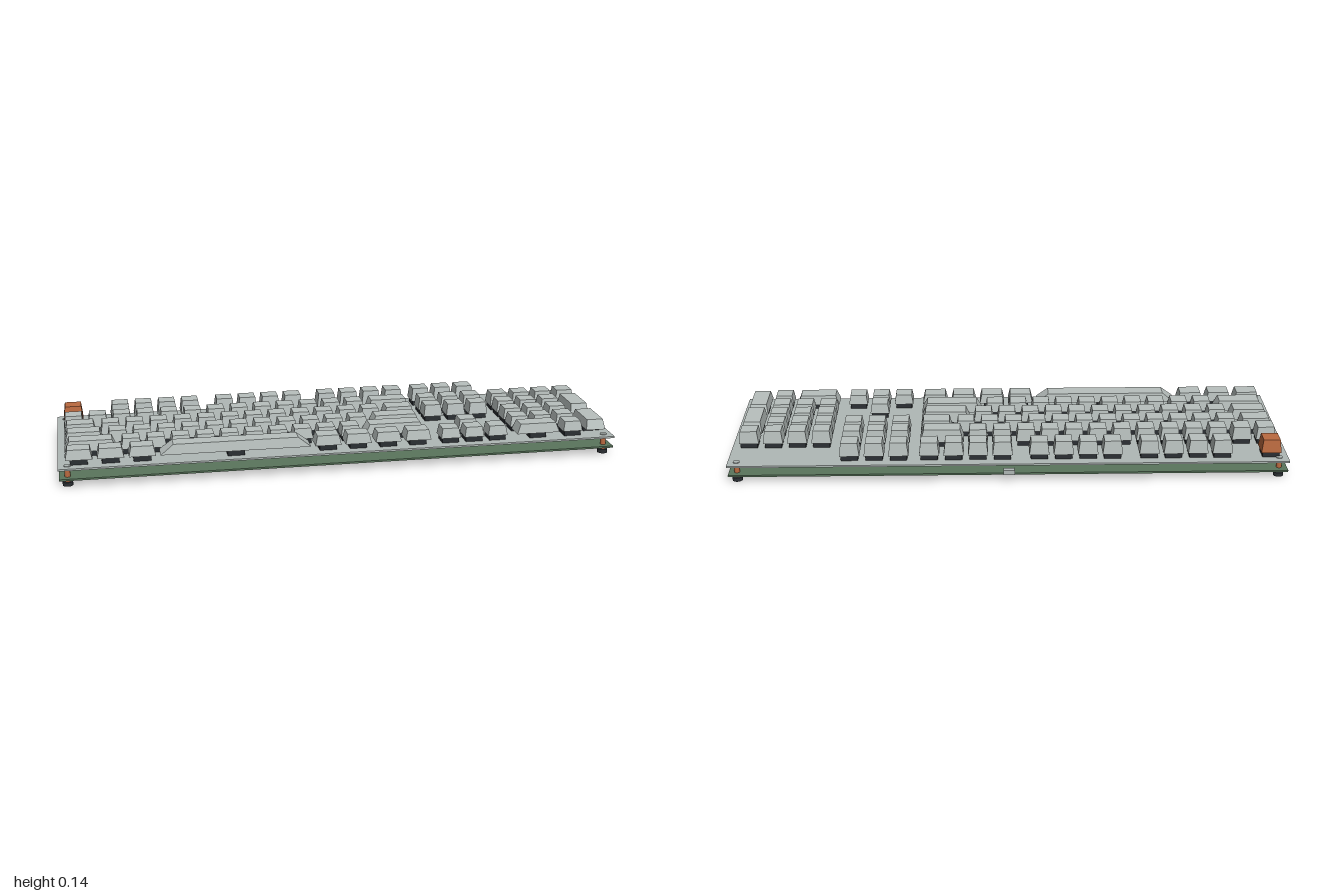
import * as THREE from 'three';

const flat = (name, color) => {
  const m = new THREE.MeshStandardMaterial({ color });
  m.name = name;
  return m;
};

export function createModel() {
  const model = new THREE.Group();
  model.name = 'keyboard';
  const keyGrey = flat('key grey', 0xb8c0be);
  const plateGrey = flat('plate grey', 0xb0b8b6);
  const copper = flat('copper', 0xbb6a40);
  const green = flat('board green', 0x5a755c);
  const black = flat('switch black', 0x2b2f33);

  const add = (name, geometry, material, x, y, z, parent = model) => {
    const mesh = new THREE.Mesh(geometry, material);
    mesh.name = name;
    mesh.position.set(x, y, z);
    parent.add(mesh);
    return mesh;
  };

  // Top plate, circuit board and cable socket
  add('topPlate', new THREE.BoxGeometry(2, 0.0065, 0.6), plateGrey, 0, 0.0657, 0.007);
  add('circuitBoard', new THREE.BoxGeometry(1.994, 0.0065, 0.594), green, 0, 0.0283, 0.008);
  add('cableSocket', new THREE.BoxGeometry(0.04, 0.017, 0.023), plateGrey, 0, 0.0405, -0.2945);

  // Corner posts with feet and screw heads
  for (const x of [-0.968, 0.968]) {
    for (const z of [0.274, -0.258]) {
      const post = new THREE.Group();
      post.name = 'cornerPost';
      post.position.set(x, 0, z);
      add('foot', new THREE.CylinderGeometry(0.018, 0.018, 0.014, 20), black, 0, 0.007, 0, post);
      add('standoff', new THREE.CylinderGeometry(0.01, 0.01, 0.05, 16), copper, 0, 0.038, 0, post);
      add('screwHead', new THREE.CylinderGeometry(0.012, 0.012, 0.003, 16), plateGrey, 0, 0.0705, 0, post);
      model.add(post);
    }
  }

  // Tapered keycap: the top ring of a box is pulled in proportionally
  const U = 0.0873, GAP = 0.0155, LEFT = -0.982, BASE = 0.0875;
  const capGeometry = (w, d, h) => {
    const geo = new THREE.BoxGeometry(w, h, d).translate(0, h / 2, 0);
    const p = geo.attributes.position;
    for (let i = 0; i < p.count; i++) {
      if (p.getY(i) > h / 2) {
        p.setX(i, p.getX(i) * 0.83);
        p.setZ(i, p.getZ(i) * 0.83 - 0.0007);
      }
    }
    geo.computeVertexNormals();
    return geo;
  };

  // Rows from back to front
  const rowZ = [-0.2245, -0.111, -0.0235, 0.064, 0.1515, 0.239];
  const rowTop = [0.1365, 0.134, 0.1305, 0.128, 0.125, 0.123];
  const switchGeo = new THREE.BoxGeometry(0.061, 0.0195, 0.061);

  const addKey = (row, start, width = 1, rows = 1) => {
    const key = new THREE.Group();
    key.name = 'key';
    const z = (rowZ[row] + rowZ[row + rows - 1]) / 2;
    key.position.set(LEFT + (start + width / 2) * U, 0, z);
    const top = rowTop[row + rows - 1] + (rows > 1 && row === 2 ? 0.0025 : 0);
    const material = row === 0 && start === 0 ? copper : keyGrey;
    add('keycap', capGeometry(width * U - GAP, rows * U - GAP, top - BASE), material, 0, BASE, 0, key);
    add('keySwitch', switchGeo, black, 0, 0.0785, 0, key);
    model.add(key);
  };

  // Main block, key widths per row
  const ones = (n) => Array(n).fill(1);
  const main = {
    1: [...ones(13), 2],
    2: [1.5, ...ones(12), 1.5],
    3: [1.75, ...ones(11), 2.25],
    4: [2.25, ...ones(10), 2.75],
    5: [1.25, 1.25, 1.25, 6.25, 1.25, 1.25, 1.25, 1.25],
  };
  for (const [row, widths] of Object.entries(main)) {
    let at = 0;
    for (const w of widths) {
      addKey(Number(row), at, w);
      at += w;
    }
  }

  // Escape key and function groups
  addKey(0, 0);
  for (const start of [2, 6.5, 11]) {
    for (let i = 0; i < 4; i++) if (start + i < 14.5) addKey(0, start + i);
  }

  // Navigation block and arrows
  for (const row of [0, 1, 2, 5]) {
    for (let i = 0; i < 3; i++) addKey(row, 15.25 + i);
  }
  addKey(4, 16.25);

  // Number pad with its double-size keys
  for (let row = 1; row <= 4; row++) {
    for (let i = 0; i < 3; i++) addKey(row, 18.5 + i);
  }
  addKey(1, 21.5);
  addKey(2, 21.5, 1, 2);
  addKey(4, 21.5, 1, 2);
  addKey(5, 18.5, 2);
  addKey(5, 20.5);

  return model;
}
